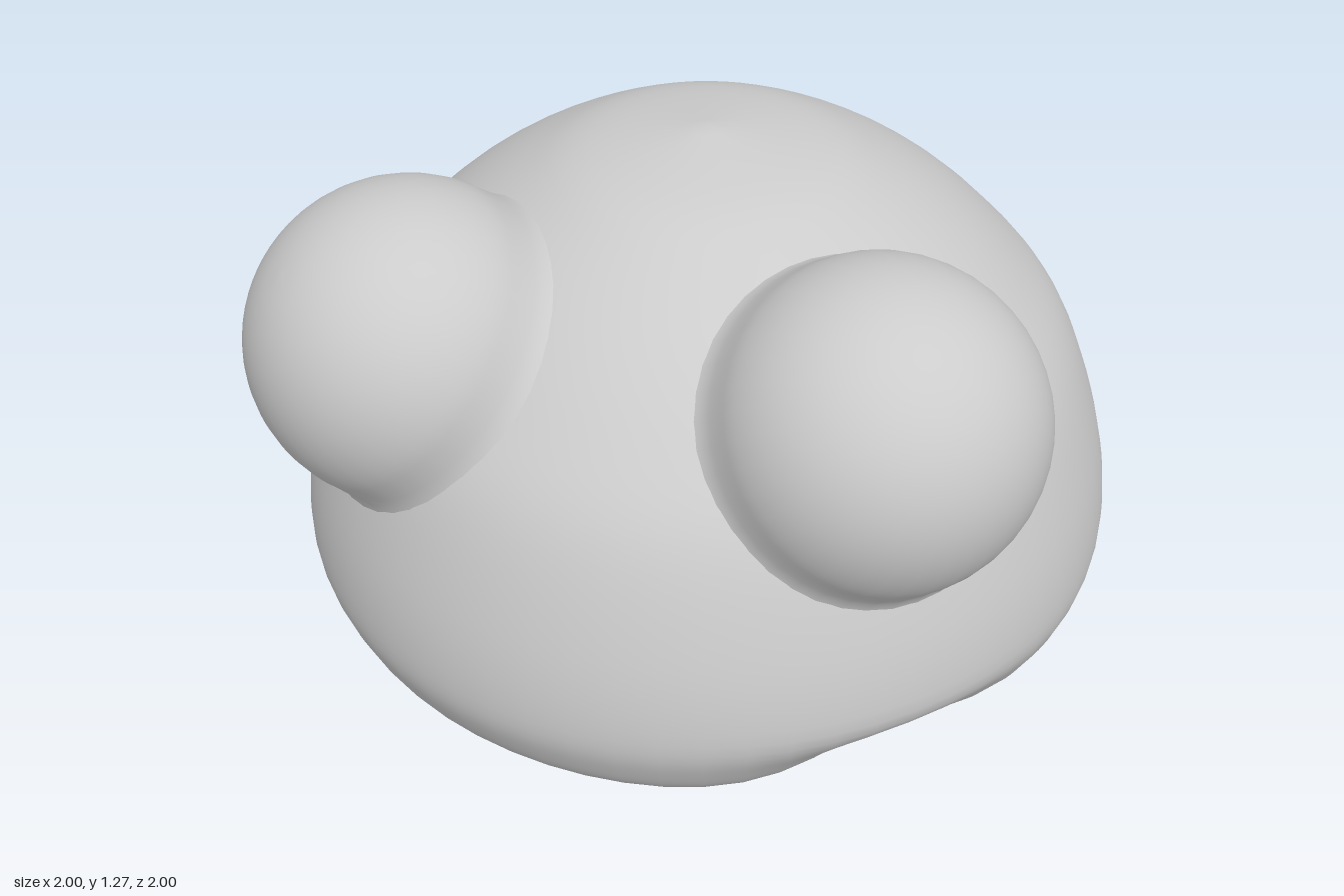
import * as THREE from 'three';
import { mergeVertices } from 'three/addons/utils/BufferGeometryUtils.js';

const material = new THREE.MeshStandardMaterial({ color: 0xcccccc });

// Lathe through smoothed [radius, height] points, listed bottom to top, without a seam
function smoothLathe(points, steps, segments, move) {
  const curve = new THREE.SplineCurve(points.map(([r, y]) => new THREE.Vector2(r, y)));
  const profile = curve.getPoints(steps).map((p) => new THREE.Vector2(Math.max(p.x, 0), p.y));
  let geometry = new THREE.LatheGeometry(profile, segments);
  geometry.deleteAttribute('uv');
  geometry.deleteAttribute('normal');
  geometry = mergeVertices(geometry, 1e-4);
  if (move) {
    const pos = geometry.attributes.position;
    const v = new THREE.Vector3();
    for (let i = 0; i < pos.count; i++) {
      move(v.fromBufferAttribute(pos, i));
      pos.setXYZ(i, v.x, Math.max(v.y, 0), v.z);
    }
  }
  geometry.computeVertexNormals();
  return geometry;
}

// Domed body with a flat underside and a softly rounded lower rim
function createBody() {
  const profile = [
    [0, 0], [0.4, 0.005], [0.78, 0.015], [0.91, 0.06], [0.975, 0.16], [1, 0.28],
    [0.97, 0.48], [0.88, 0.73], [0.75, 0.9], [0.6, 1.04], [0.43, 1.15], [0.27, 1.22], [0, 1.265],
  ];
  // Shallow dent low on the left front of the rim
  const dent = (v) => {
    const away = Math.atan2(v.x, v.z) - Math.PI / 4;
    const low = 1 - THREE.MathUtils.smoothstep(v.y, 0.08, 0.28);
    const rim = THREE.MathUtils.smoothstep(Math.hypot(v.x, v.z), 0.5, 0.9);
    const scale = 1 - 0.1 * low * rim * Math.exp(-((away / 0.3) ** 2));
    v.x *= scale;
    v.z *= scale;
  };
  const body = new THREE.Mesh(smoothLathe(profile, 60, 64, dent), material);
  body.name = 'body';
  return body;
}

// Ball eye whose base flares out to blend into the body
function createEye(side) {
  const radius = 0.376;
  const profile = [[0.47, -0.17], [0.415, -0.11], [0.385, -0.055]];
  for (let i = 0; i <= 10; i++) {
    const a = (i / 10) * Math.PI / 2;
    profile.push([radius * Math.cos(a), radius * Math.sin(a)]);
  }
  const eye = new THREE.Mesh(smoothLathe(profile, 36, 40), material);
  eye.name = side > 0 ? 'leftEye' : 'rightEye';
  eye.position.set(side * 0.542, 0.895, 0.508);
  const outward = new THREE.Vector3(side * 0.55, 0.66, 0.51).normalize();
  eye.quaternion.setFromUnitVectors(new THREE.Vector3(0, 1, 0), outward);
  return eye;
}

export function createModel() {
  const model = new THREE.Group();
  model.name = 'frogHead';
  model.add(createBody(), createEye(1), createEye(-1));
  return model;
}
